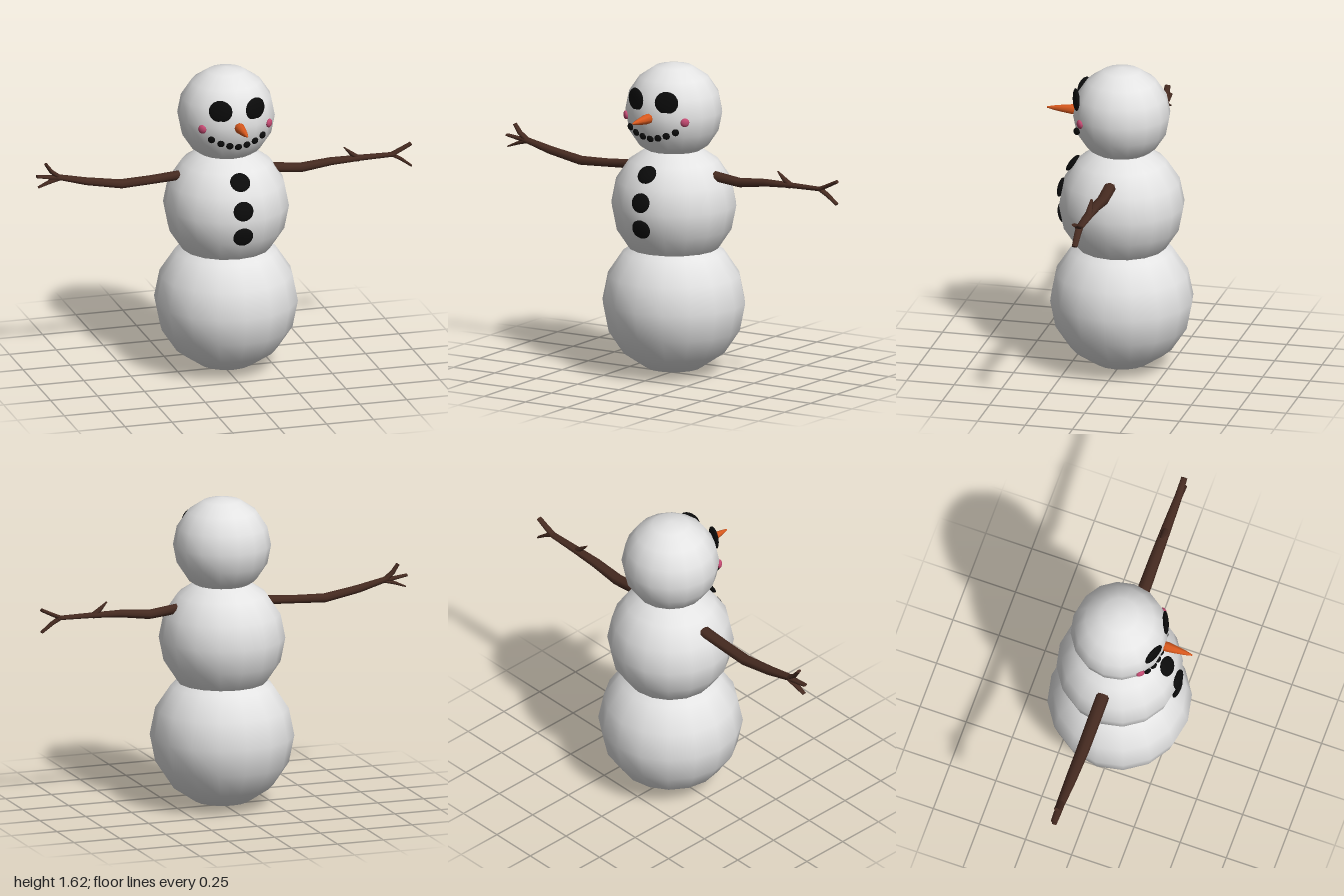
import * as THREE from 'three';

const material = (name, color) => {
  const m = new THREE.MeshStandardMaterial({ color });
  m.name = name;
  return m;
};

export function createModel() {
  const snow = material('snow', 0xe4e4e4);
  const coal = material('coal', 0x0b0b0b);
  const carrot = material('carrot', 0xdb5a1e);
  const blush = material('blush', 0xc44a72);
  const bark = material('bark', 0x452a20);

  const model = new THREE.Group();
  model.name = 'snowman';
  const CX = 0.01, CZ = -0.01; // axis of the body

  const add = (name, geometry, mat, parent = model) => {
    const mesh = new THREE.Mesh(geometry, mat);
    mesh.name = name;
    parent.add(mesh);
    return mesh;
  };

  // Three stacked snowballs
  const ball = (name, y, r) => {
    add(name, new THREE.SphereGeometry(r, 16, 8), snow).position.set(CX, y, CZ);
    return { y, r };
  };
  ball('lowerBody', 0.372, 0.37);
  const chest = ball('upperBody', 0.885, 0.324);
  const head = ball('head', 1.372, 0.251);

  // Flattened pebble lying on the front of a snowball, facing outwards
  const pebble = (name, on, dx, y, [rx, ry, rz], mat, upright = false) => {
    const dy = y - on.y;
    const dz = Math.sqrt(on.r ** 2 - dx ** 2 - dy ** 2);
    const mesh = add(name, new THREE.SphereGeometry(1, 16, 10), mat);
    mesh.scale.set(rx, ry, rz);
    mesh.position.set(CX + dx, y, CZ + dz);
    mesh.rotation.order = 'YXZ';
    mesh.rotation.y = Math.atan2(dx, dz);
    if (!upright) mesh.rotation.x = -Math.asin(dy / on.r);
  };

  // Face
  for (const [side, s] of [['left', 1], ['right', -1]]) {
    pebble(side + 'Eye', head, s * 0.092, 1.459, [0.061, 0.059, 0.016], coal, true);
    pebble(side + 'Cheek', head, s * 0.178, 1.359, [0.023, 0.023, 0.013], blush);
  }
  const smileY = [1.263, 1.271, 1.285, 1.306];
  for (let i = -3; i <= 3; i++) {
    pebble('mouthPebble', head, i * 0.0453, smileY[Math.abs(i)], [0.019, 0.019, 0.013], coal);
  }

  // Carrot nose
  const nosePoints = [[0, 0], [0.026, 0.01], [0.027, 0.05], [0.021, 0.095], [0.012, 0.15], [0.004, 0.183], [0, 0.186]]
    .map(([r, h]) => new THREE.Vector2(r, h));
  const nose = add('nose', new THREE.LatheGeometry(nosePoints, 8), carrot);
  nose.position.set(CX, 1.372, 0.2);
  nose.rotation.x = Math.PI / 2;

  // Buttons
  for (const y of [1.081, 0.944, 0.805]) {
    pebble('button', chest, 0, y, [0.053, 0.051, 0.017], coal);
  }

  // Branch through [x, y, half height, half depth] stations, with closed ends
  const SIDES = 8;
  const branch = (stations) => {
    const positions = [], index = [];
    const n = stations.length;
    const ring = ([x, y, h, d], tx, ty) => {
      for (let j = 0; j < SIDES; j++) {
        const a = (j / SIDES) * Math.PI * 2;
        const u = Math.cos(a) * h;
        positions.push(x - ty * u, y + tx * u, CZ + Math.sin(a) * d);
      }
    };
    const direction = (i) => {
      const a = stations[Math.max(i - 1, 0)], b = stations[Math.min(i + 1, n - 1)];
      const l = Math.hypot(b[0] - a[0], b[1] - a[1]);
      return [(b[0] - a[0]) / l, (b[1] - a[1]) / l];
    };
    stations.forEach((s, i) => ring(s, ...direction(i)));
    for (let i = 0; i < n - 1; i++) {
      for (let j = 0; j < SIDES; j++) {
        const a = i * SIDES + j, b = i * SIDES + (j + 1) % SIDES;
        index.push(a, b, a + SIDES, b, b + SIDES, a + SIDES);
      }
    }
    // separate rings for the end caps keep their edges crisp
    const start = n * SIDES, end = start + SIDES;
    ring(stations[0], ...direction(0));
    ring(stations[n - 1], ...direction(n - 1));
    for (let j = 1; j < SIDES - 1; j++) {
      index.push(start, start + j + 1, start + j, end, end + j, end + j + 1);
    }
    const g = new THREE.BufferGeometry();
    g.setAttribute('position', new THREE.Float32BufferAttribute(positions, 3));
    g.setIndex(index);
    g.computeVertexNormals();
    return g;
  };

  const arm = (name, limb, twigs) => {
    const group = new THREE.Group();
    group.name = name;
    model.add(group);
    add('branch', branch(limb), bark, group);
    twigs.forEach((t) => add('twig', branch(t), bark, group));
  };

  arm('rightArm', [
    [-0.24, 1.06, 0.024, 0.034], [-0.396, 1.05, 0.022, 0.034], [-0.55, 1.043, 0.024, 0.033],
    [-0.733, 1.075, 0.021, 0.029], [-0.895, 1.115, 0.014, 0.022],
  ], [
    [[-0.87, 1.105, 0.013, 0.021], [-0.92, 1.145, 0.011, 0.018], [-0.95, 1.188, 0.008, 0.015]],
    [[-0.87, 1.108, 0.013, 0.021], [-0.93, 1.115, 0.01, 0.018], [-0.998, 1.125, 0.007, 0.015]],
    [[-0.87, 1.108, 0.012, 0.021], [-0.93, 1.09, 0.009, 0.018], [-0.99, 1.066, 0.004, 0.012]],
  ]);

  arm('leftArm', [
    [0.255, 1.056, 0.027, 0.034], [0.407, 1.039, 0.025, 0.033], [0.567, 1.057, 0.02, 0.03],
    [0.728, 1.061, 0.014, 0.026], [0.91, 1.062, 0.011, 0.02],
  ], [
    [[0.89, 1.062, 0.011, 0.02], [0.94, 1.085, 0.01, 0.018], [0.995, 1.112, 0.009, 0.016]],
    [[0.89, 1.064, 0.011, 0.02], [0.94, 1.035, 0.009, 0.018], [0.995, 0.993, 0.006, 0.015]],
    [[0.72, 1.055, 0.016, 0.02], [0.675, 1.09, 0.011, 0.015], [0.638, 1.125, 0.003, 0.006]],
  ]);

  return model;
}
